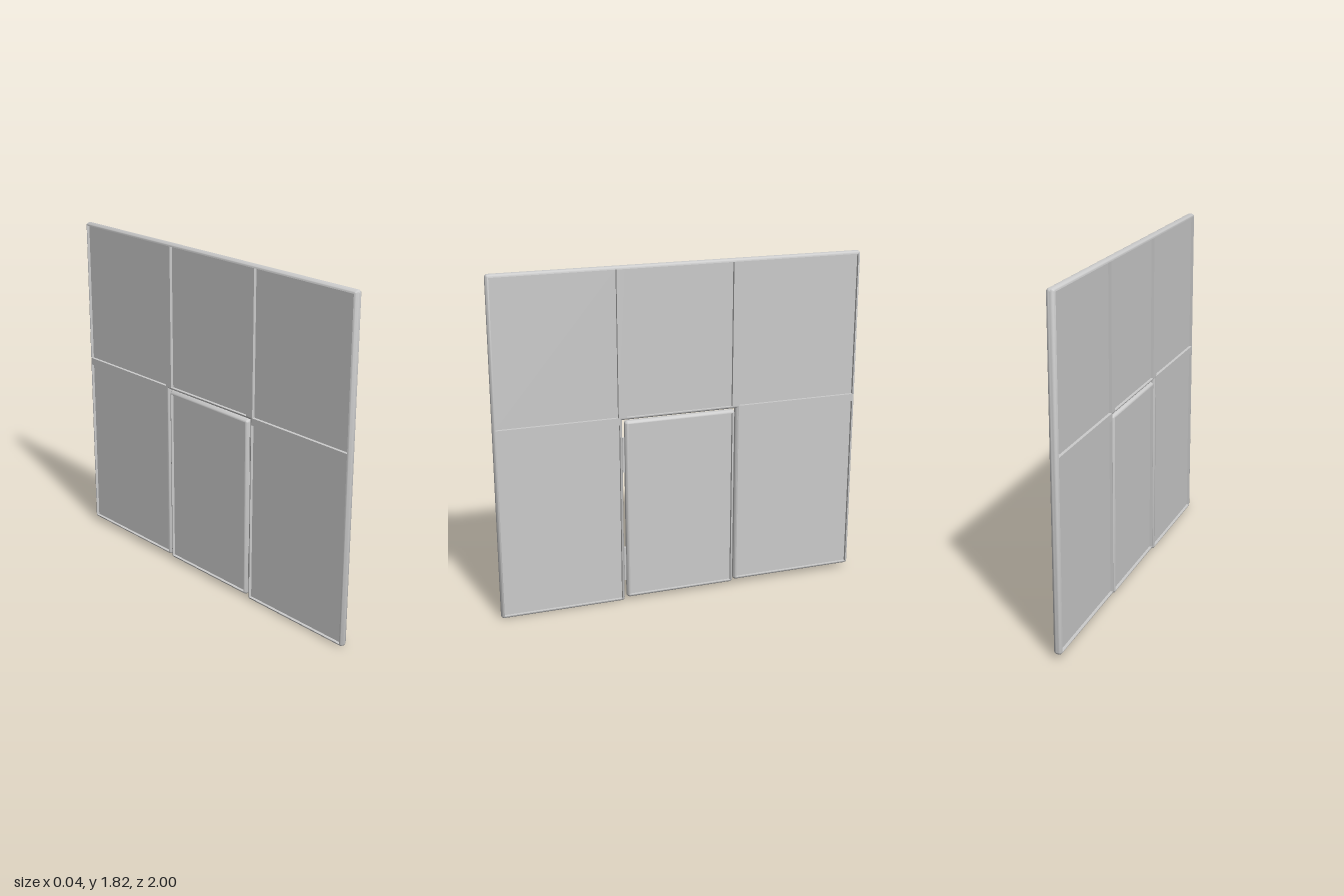
import * as THREE from 'three';
import { toCreasedNormals } from 'three/addons/utils/BufferGeometryUtils.js';

const HALF = 0.022;  // half thickness of the frame
const EDGE = 0.016;  // width of the rounded edge strip
const material = new THREE.MeshStandardMaterial({ color: 0xcccccc });

// Half-round strip swept around a closed loop of [z, y] corners.
// Convex corners are rounded, concave corners are mitred.
function edgeStrip(name, loop) {
  const n = loop.length, path = [];
  const normal = (a, b) => {
    const dz = b[0] - a[0], dy = b[1] - a[1], l = Math.hypot(dz, dy);
    return [dy / l, -dz / l];
  };
  loop.forEach((p, i) => {
    const n1 = normal(loop[(i + n - 1) % n], p), n2 = normal(p, loop[(i + 1) % n]);
    if (n1[0] * n2[1] - n1[1] * n2[0] > 0) {
      const start = Math.atan2(n1[1], n1[0]);
      for (let k = 0; k <= 4; k++) {
        const a = start + k * Math.PI / 8;
        path.push([p, [Math.cos(a), Math.sin(a)]]);
      }
    } else path.push([p, [n1[0] + n2[0], n1[1] + n2[1]]]);
  });

  const steps = 10;
  const rings = path.map(([p, d]) => {
    const ring = [];
    for (let j = 0; j <= steps; j++) {
      const a = -Math.PI / 2 + j * Math.PI / steps, o = EDGE * Math.cos(a);
      ring.push(new THREE.Vector3(HALF * Math.sin(a), p[1] + d[1] * o, p[0] + d[0] * o));
    }
    return ring;
  });

  const positions = [];
  const addTriangle = (a, b, c) => {
    const area = b.clone().sub(a).cross(c.clone().sub(a)).length();
    if (area > 1e-9) for (const v of [a, b, c]) positions.push(v.x, v.y, v.z);
  };
  rings.forEach((r, i) => {
    const s = rings[(i + 1) % rings.length];
    for (let j = 0; j <= steps; j++) {
      const k = (j + 1) % (steps + 1);
      addTriangle(r[j], r[k], s[j]);
      addTriangle(s[j], r[k], s[k]);
    }
  });
  const geometry = new THREE.BufferGeometry();
  geometry.setAttribute('position', new THREE.Float32BufferAttribute(positions, 3));
  const mesh = new THREE.Mesh(toCreasedNormals(geometry, 0.7), material);
  mesh.name = name;
  return mesh;
}

// Upright slab between two z and two y limits
function slab(name, z0, z1, y0, y1, half) {
  const mesh = new THREE.Mesh(new THREE.BoxGeometry(half * 2, y1 - y0, z1 - z0), material);
  mesh.position.set(0, (y0 + y1) / 2, (z0 + z1) / 2);
  mesh.name = name;
  return mesh;
}

export function createModel() {
  const model = new THREE.Group();
  model.name = 'partitionWall';

  const back = -0.984, front = 0.984, top = 1.804;
  const postBack = -0.316, postFront = 0.341;   // inner faces of the door posts
  const railLow = 0.995, railHigh = 1.034;      // middle rail
  const sillBack = 0.041, sillFront = 0.016;    // bottoms of the two lower bays
  const panelHalf = 0.006;

  // Fixed wall: rounded border, uprights and middle rails
  const wall = new THREE.Group();
  wall.name = 'wall';
  wall.add(edgeStrip('wallBorder', [
    [back, sillBack], [postBack, sillBack], [postBack, railHigh], [postFront, railHigh],
    [postFront, sillFront], [front, sillFront], [front, top], [back, top],
  ]));
  wall.add(
    slab('upright', -0.32, -0.28, railHigh, top, HALF),
    slab('upright', 0.303, 0.347, railHigh, top, HALF),
    slab('middleRail', back, postBack, railLow, railHigh, HALF),
    slab('middleRail', postFront, front, railLow, railHigh, HALF),
  );

  // Recessed panels
  wall.add(
    slab('upperPanel', back, -0.32, railHigh, top, panelHalf),
    slab('upperPanel', -0.28, 0.303, railHigh, top, panelHalf),
    slab('upperPanel', 0.347, front, railHigh, top, panelHalf),
    slab('lowerPanel', back, postBack, sillBack, railLow, panelHalf),
    slab('lowerPanel', postFront, front, sillFront, railLow, panelHalf),
  );
  model.add(wall);

  // Door leaf in the opening
  const door = new THREE.Group();
  door.name = 'door';
  const [z0, z1, y0, y1] = [-0.281, 0.297, 0.031, 0.997];
  door.add(
    edgeStrip('doorBorder', [[z0, y0], [z1, y0], [z1, y1], [z0, y1]]),
    slab('doorPanel', z0, z1, y0, y1, panelHalf),
  );
  model.add(door);

  // Hinges in the gap beside the door
  for (const y of [0.21, 0.825]) {
    const hinge = new THREE.Mesh(new THREE.CylinderGeometry(0.008, 0.008, 0.19, 16), material);
    hinge.position.set(0, y, 0.32);
    hinge.name = 'hinge';
    model.add(hinge);
  }
  return model;
}
